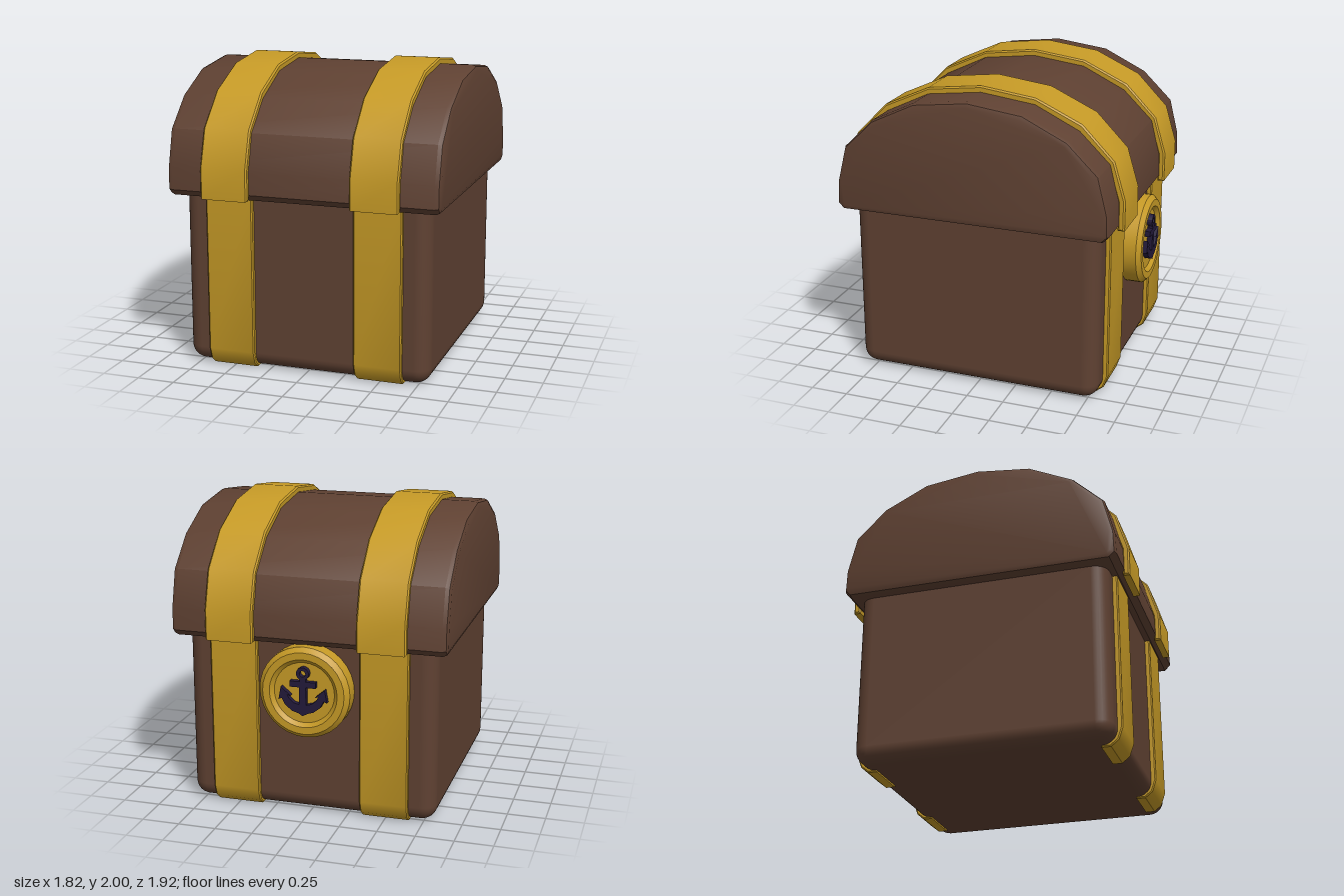
import * as THREE from 'three';
import { toCreasedNormals } from 'three/addons/utils/BufferGeometryUtils.js';
import { RoundedBoxGeometry } from 'three/addons/geometries/RoundedBoxGeometry.js';

const MID = 0.015; // z of the chest's middle plane

const mat = (name, color) => {
  const m = new THREE.MeshStandardMaterial({ color });
  m.name = name;
  return m;
};

const part = (name, geometry, material, parent) => {
  const mesh = new THREE.Mesh(geometry, material);
  mesh.name = name;
  parent.add(mesh);
  return mesh;
};

// Shape in the (z, y) plane
const outline = (pts) => new THREE.Shape(pts.map(([z, y]) => new THREE.Vector2(z, y)));

// Extrudes a (z, y) outline along x, centred on x = 0, with its outer size kept
function extrudeAcross(pts, width, bevel, segments = 1) {
  const g = new THREE.ExtrudeGeometry(outline(pts), {
    depth: width - 2 * bevel, bevelThickness: bevel, bevelSize: bevel,
    bevelOffset: -bevel, bevelSegments: segments,
  });
  g.translate(0, 0, -(width / 2 - bevel));
  g.rotateY(-Math.PI / 2);
  g.translate(0, 0, MID);
  return toCreasedNormals(g, 0.6);
}

// Completes half an arch (front foot to apex) by mirroring it
const arch = (half) => [...half, ...half.slice(0, -1).reverse().map(([z, y]) => [-z, y])];

function anchorGeometry() {
  // Shank, stock and flukes, drawn for the right half and mirrored
  const half = [
    [0.02, 0.085], [0.02, 0.068], [0.085, 0.068], [0.085, 0.03], [0.022, 0.03], [0.022, -0.085],
    [0.06, -0.075], [0.09, -0.05], [0.103, -0.025], [0.08, -0.03], [0.145, 0.025],
    [0.16, -0.06], [0.14, -0.05], [0.115, -0.095], [0.07, -0.13], [0.03, -0.142], [0, -0.16],
  ];
  const body = outline([...half, ...half.slice(0, -1).reverse().map(([x, y]) => [-x, y])]);
  const ring = new THREE.Shape().absarc(0, 0.12, 0.042, 0, Math.PI * 2);
  ring.holes.push(new THREE.Path().absarc(0, 0.12, 0.02, 0, Math.PI * 2, true));
  const g = new THREE.ExtrudeGeometry([body, ring], { depth: 0.04, bevelEnabled: false, curveSegments: 8 });
  return g.rotateY(Math.PI);
}

export function createModel() {
  const wood = mat('brown wood', 0x5f4132);
  const gold = mat('gold metal', 0xc69a26);
  const dark = mat('dark indigo', 0x231a3a);
  const chest = new THREE.Group();
  chest.name = 'chest';

  // Box, its top hidden inside the lid
  const box = part('box', new RoundedBoxGeometry(1.66, 1.25, 1.67, 4, 0.1), wood, chest);
  box.position.set(0, 0.635, MID);

  // Domed lid
  const lid = arch([[0.875, 1.15], [0.915, 1.19], [0.91, 1.34], [0.85, 1.58], [0.65, 1.775], [0.36, 1.915], [0, 1.96]]);
  part('lid', extrudeAcross(lid, 1.82, 0.035, 2), wood, chest);

  // Straps
  const outer = arch([[0.95, 1.15], [0.95, 1.35], [0.875, 1.6], [0.665, 1.815], [0.36, 1.955], [0, 2]]);
  const inner = arch([[0.905, 1.15], [0.905, 1.34], [0.835, 1.57], [0.64, 1.765], [0.35, 1.905], [0, 1.95]]);
  const lidStrap = extrudeAcross([...outer, ...inner.reverse()], 0.32, 0.01);
  const boxSection = [[0.81, 1.19], [0.868, 1.19], [0.868, 0.12], [0.84, 0.04], [0.79, 0], [0.73, 0], [0.73, 0.06], [0.81, 0.14]];
  const frontStrap = extrudeAcross(boxSection, 0.32, 0.008);
  const backStrap = extrudeAcross(boxSection.map(([z, y]) => [-z, y]), 0.32, 0.008);
  for (const [side, x] of [['left', 0.5], ['right', -0.5]]) {
    part(side + 'LidStrap', lidStrap, gold, chest).position.x = x;
    part(side + 'FrontStrap', frontStrap, gold, chest).position.x = x;
    part(side + 'BackStrap', backStrap, gold, chest).position.x = x;
  }

  // Round clasp with a raised rim and an anchor, on the -z side
  const clasp = new THREE.Group();
  clasp.name = 'clasp';
  clasp.position.set(0, 0.855, -0.815);
  chest.add(clasp);
  const profile = [[0, 0], [0.3, 0], [0.3, 0.105], [0.27, 0.135], [0.225, 0.135], [0.2, 0.11], [0, 0.11]];
  const disc = new THREE.LatheGeometry(profile.map(([r, h]) => new THREE.Vector2(r, h)), 32);
  disc.rotateX(-Math.PI / 2);
  part('disc', toCreasedNormals(disc, 0.5), gold, clasp);
  part('anchor', anchorGeometry(), dark, clasp).position.set(0, 0.015, -0.105);

  return chest;
}
